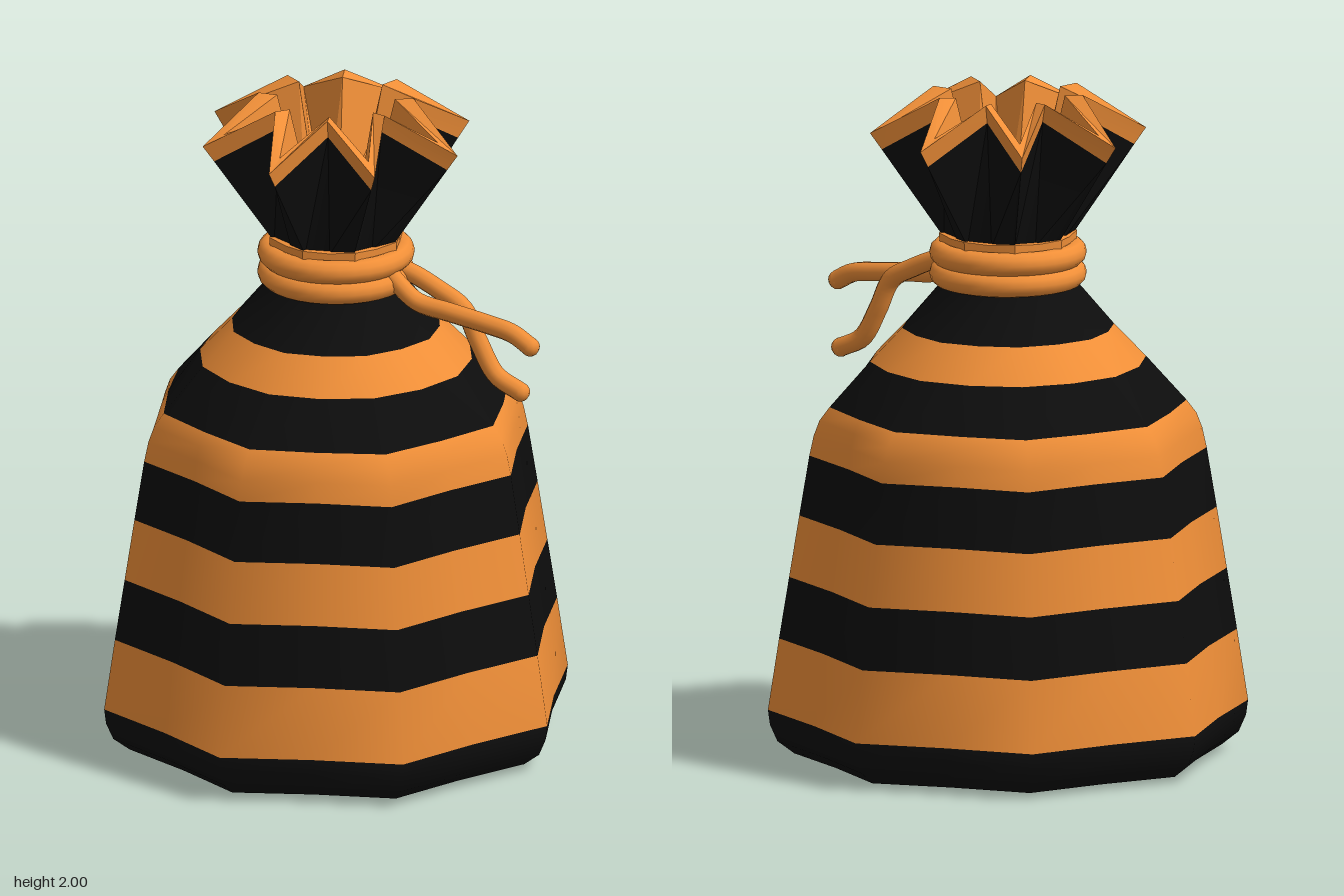
import * as THREE from 'three';
import { toCreasedNormals } from 'three/addons/utils/BufferGeometryUtils.js';

const SIDES = 16;
const TURN = -2 * Math.PI / 180;
const orange = new THREE.MeshStandardMaterial({ color: 0xf08f38 });
const black = new THREE.MeshStandardMaterial({ color: 0x0d0d0d });

// Pleated loft. Each ring: [fold radius, fold y, valley radius, valley y].
// tones[i] colours the strip between ring i and i + 1 (0 orange, 1 black).
function loft(rings, tones, crease) {
  const pos = [], index = [];
  const geo = new THREE.BufferGeometry();
  for (const [pr, py, vr, vy] of rings) {
    for (let j = 0; j < SIDES; j++) {
      const a = TURN + j / SIDES * Math.PI * 2;
      const r = j % 2 ? vr : pr;
      pos.push(r * Math.cos(a), j % 2 ? vy : py, r * Math.sin(a));
    }
  }
  for (let i = 0; i < rings.length - 1; i++) {
    geo.addGroup(index.length, SIDES * 6, tones[i]);
    for (let j = 0; j < SIDES; j++) {
      const a = i * SIDES + j, b = i * SIDES + (j + 1) % SIDES;
      index.push(a, a + SIDES, b, b, a + SIDES, b + SIDES);
    }
  }
  geo.setAttribute('position', new THREE.Float32BufferAttribute(pos, 3));
  geo.setIndex(index);
  if (crease) return toCreasedNormals(geo, crease);
  geo.computeVertexNormals();
  return geo;
}

export function createModel() {
  const group = new THREE.Group();
  const add = (name, geo, mat) => {
    const mesh = new THREE.Mesh(geo, mat);
    mesh.name = name;
    group.add(mesh);
    return mesh;
  };

  // Striped sack: [y, fold radius, valley ratio, tone of the strip above]
  const profile = [
    [0, 0, 0.91, 1], [0, 0.57, 0.91, 1], [0.012, 0.635, 0.91, 1], [0.05, 0.685, 0.91, 1],
    [0.1, 0.707, 0.91, 1], [0.145, 0.713, 0.91, 0], [0.36, 0.68, 0.91, 1],
    [0.545, 0.65, 0.91, 0], [0.73, 0.62, 0.91, 1], [0.91, 0.59, 0.91, 0],
    [0.97, 0.577, 0.915, 0], [1.015, 0.56, 0.925, 0], [1.055, 0.53, 0.94, 1],
    [1.19, 0.41, 0.985, 0], [1.29, 0.315, 0.98, 1], [1.42, 0.205, 0.96, 0], [1.5, 0.195, 0.95, 0],
  ];
  add('sack', loft(profile.map(([y, r, k]) => [r, y, r * k, y]), profile.map(p => p[3])), [orange, black]);

  // Neck band under the cord
  add('neckBand', loft([[0.195, 1.4, 0.185, 1.4], [0.205, 1.575, 0.19, 1.57], [0.17, 1.58, 0.15, 1.575]], [0, 0], 0.6), [orange, black]);

  // Gathered mouth: outside, rim and lining
  add('gatheredMouth', loft([
    [0.19, 1.56, 0.17, 1.56],
    [0.375, 1.83, 0.215, 1.945],
    [0.41, 1.88, 0.23, 2.0],
    [0.345, 1.91, 0.175, 1.995],
    [0.1, 1.6, 0.08, 1.6],
  ], [1, 0, 0, 0], 0.55), [orange, black]);
  const floor = add('mouthFloor', new THREE.CircleGeometry(0.11, SIDES), black);
  floor.rotation.x = -Math.PI / 2;
  floor.position.y = 1.605;

  // Cord wound twice round the neck
  for (const y of [1.452, 1.515]) {
    const loop = add('cordLoop', new THREE.TorusGeometry(0.197, 0.036, 12, 32), orange);
    loop.rotation.x = Math.PI / 2;
    loop.position.y = y;
  }

  // Loose cord ends on the left side
  const tails = [
    [[0.19, 1.49, 0.02], [0.235, 1.45, 0.02], [0.29, 1.41, 0.015], [0.4, 1.395, 0.01], [0.52, 1.38, 0.005], [0.61, 1.365, 0.003], [0.67, 1.335, 0.003]],
    [[0.19, 1.48, -0.05], [0.24, 1.465, -0.055], [0.32, 1.43, -0.06], [0.4, 1.385, -0.065], [0.45, 1.29, -0.068], [0.51, 1.195, -0.07], [0.59, 1.155, -0.075]],
  ];
  for (const pts of tails) {
    const path = new THREE.CatmullRomCurve3(pts.map(p => new THREE.Vector3(...p)));
    add('cordTail', new THREE.TubeGeometry(path, 28, 0.029, 10), orange);
    const tip = add('cordTip', new THREE.SphereGeometry(0.029, 10, 8), orange);
    tip.position.set(...pts[pts.length - 1]);
  }
  return group;
}
